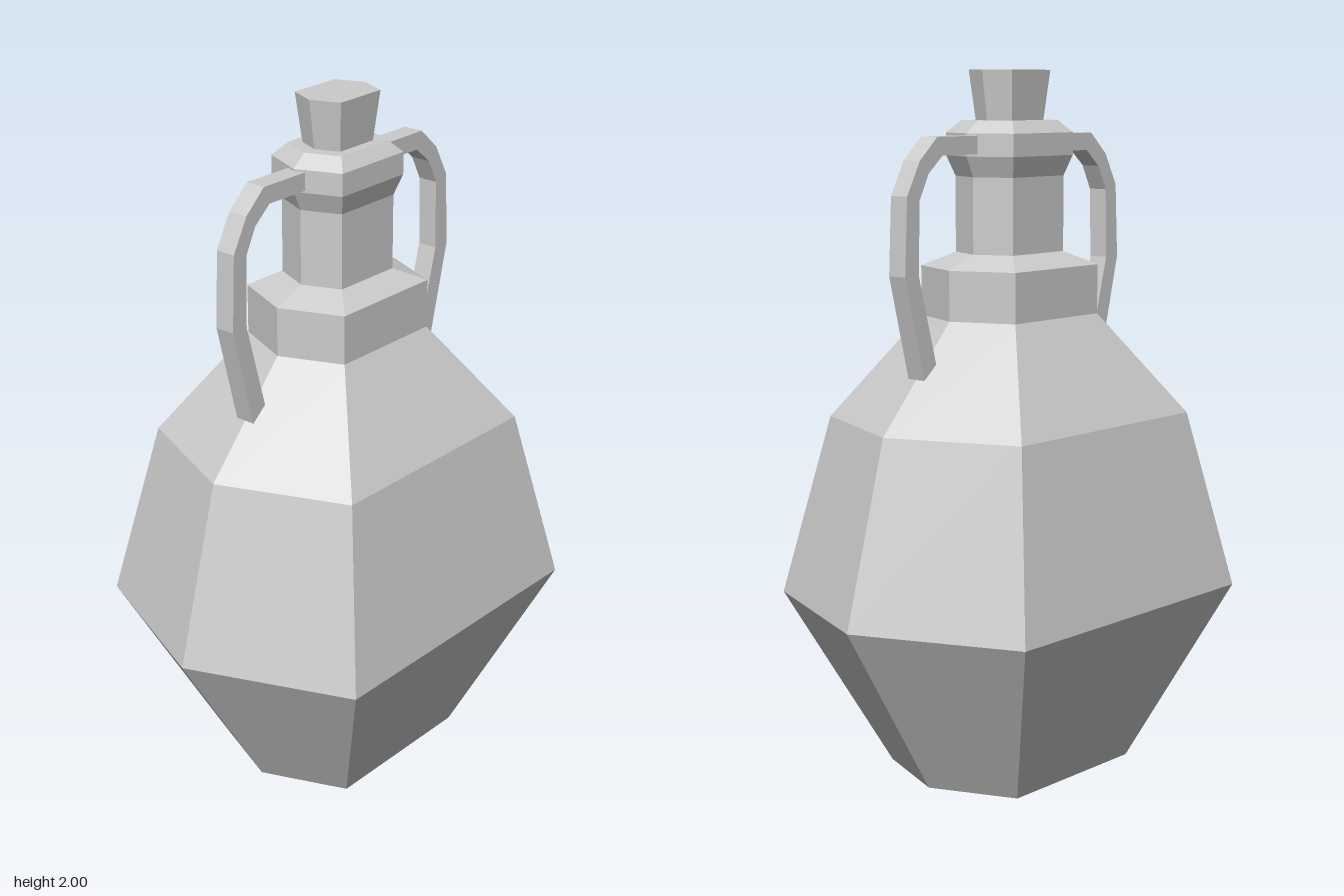
import * as THREE from 'three';

const material = new THREE.MeshStandardMaterial({ color: 0xcccccc, flatShading: true });

// Six-sided plan: points at front and back, wide flat flanks
const ANGLES = [0, 45, 135, 180, 225, 315].map(THREE.MathUtils.degToRad);

// Stack hexagonal rings given as [radius, height], closed at both ends
function loftHex(profile) {
  const rings = profile.map(([r, y]) =>
    ANGLES.map(a => new THREE.Vector3(r * Math.sin(a), y, r * Math.cos(a))));
  const points = [];
  const bottom = new THREE.Vector3(0, profile[0][1], 0);
  const top = new THREE.Vector3(0, profile[profile.length - 1][1], 0);
  const n = ANGLES.length;
  for (let i = 0; i < n; i++) {
    const j = (i + 1) % n;
    for (let k = 0; k < rings.length - 1; k++) {
      const lo = rings[k], hi = rings[k + 1];
      points.push(lo[i], lo[j], hi[j], lo[i], hi[j], hi[i]);
    }
    const last = rings[rings.length - 1];
    points.push(bottom, rings[0][j], rings[0][i], top, last[i], last[j]);
  }
  const geometry = new THREE.BufferGeometry().setFromPoints(points);
  geometry.computeVertexNormals();
  return geometry;
}

function addMesh(group, name, geometry) {
  const mesh = new THREE.Mesh(geometry, material);
  mesh.name = name;
  group.add(mesh);
  return mesh;
}

export function createModel() {
  const group = new THREE.Group();
  group.name = 'flask';

  // Faceted belly, shoulder collar, neck and flared lip
  addMesh(group, 'bottle', loftHex([
    [0.345, 0], [0.655, 0.515], [0.512, 1.028], [0.25, 1.317],
    [0.25, 1.457], [0.152, 1.495], [0.152, 1.708],
    [0.178, 1.765], [0.178, 1.828], [0.135, 1.862],
  ]));

  // Tapered stopper
  addMesh(group, 'stopper', loftHex([[0.093, 1.85], [0.114, 2]]));

  // Handle side outline: outer edge downwards, inner edge back up
  const outline = [
    [0.14, 1.822], [0.325, 1.822], [0.393, 1.76], [0.442, 1.668], [0.452, 1.455], [0.382, 1.17],
    [0.335, 1.21], [0.4, 1.455], [0.395, 1.655], [0.36, 1.725], [0.305, 1.772], [0.14, 1.772],
  ].map(([z, y]) => new THREE.Vector2(z, y));
  const width = 0.06;
  const handle = new THREE.ExtrudeGeometry(new THREE.Shape(outline), { depth: width, bevelEnabled: false });
  handle.translate(0, 0, -width / 2).rotateY(-Math.PI / 2);
  addMesh(group, 'frontHandle', handle);
  addMesh(group, 'backHandle', handle).rotation.y = Math.PI;

  return group;
}
